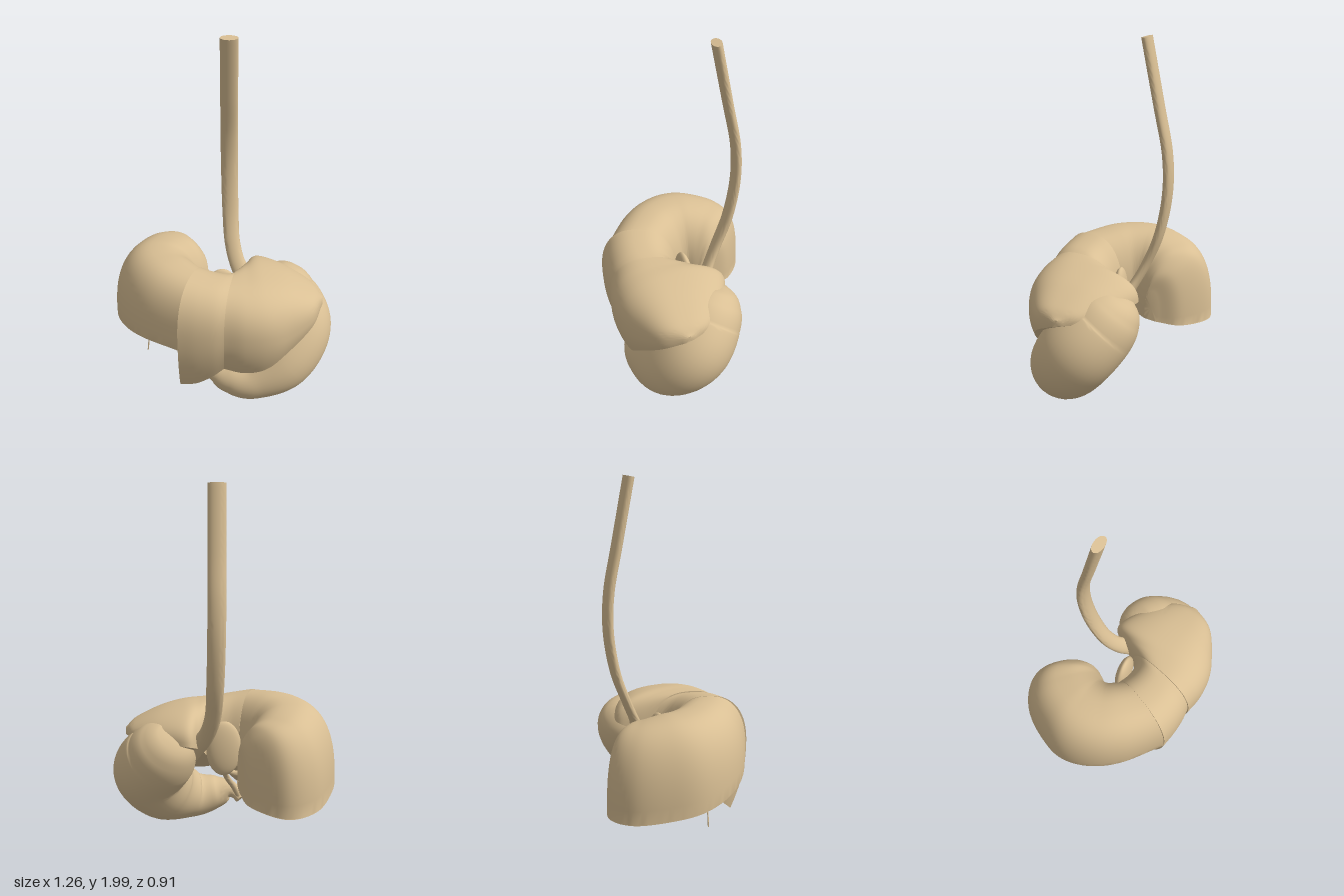
import * as THREE from 'three';
import { toCreasedNormals } from 'three/addons/utils/BufferGeometryUtils.js';

const V = (x, y, z) => new THREE.Vector3(x, y, z);
const spline = (pts) => new THREE.CatmullRomCurve3(pts, false, 'catmullrom', 0.5);

// Skin closed rings (counter-clockwise about the direction of travel) and cap both ends.
function loft(rings, crease) {
  const n = rings[0].length, pos = [], idx = [];
  rings.forEach((ring) => ring.forEach((p) => pos.push(p.x, p.y, p.z)));
  for (let i = 0; i < rings.length - 1; i++) {
    for (let j = 0; j < n; j++) {
      const a = i * n + j, b = i * n + (j + 1) % n;
      idx.push(a, b, a + n, b, b + n, a + n);
    }
  }
  [0, rings.length - 1].forEach((r, end) => {
    const c = V(0, 0, 0);
    rings[r].forEach((p) => c.addScaledVector(p, 1 / n));
    const ci = pos.length / 3;
    pos.push(c.x, c.y, c.z);
    for (let j = 0; j < n; j++) {
      const a = r * n + j, b = r * n + (j + 1) % n;
      if (end) idx.push(ci, a, b);
      else idx.push(ci, b, a);
    }
  });
  const g = new THREE.BufferGeometry();
  g.setAttribute('position', new THREE.Float32BufferAttribute(pos, 3));
  g.setIndex(idx);
  return toCreasedNormals(g, crease);
}

// Tube through [x, y, z, radius] stations; depth flattens its section.
function taperedTube(stations, steps, sides, depth = 1) {
  const path = spline(stations.map(([x, y, z]) => V(x, y, z)));
  const radius = spline(stations.map((s) => V(s[3], 0, 0)));
  const { normals, binormals } = path.computeFrenetFrames(steps, false);
  const rings = [];
  for (let i = 0; i <= steps; i++) {
    const u = i / steps, c = path.getPointAt(u);
    const r = Math.max(radius.getPoint(path.getUtoTmapping(u)).x, 0.002);
    rings.push(Array.from({ length: sides }, (_, j) => {
      const a = (j / sides) * Math.PI * 2;
      return c.clone().addScaledVector(normals[i], r * Math.cos(a))
        .addScaledVector(binormals[i], r * depth * Math.sin(a));
    }));
  }
  return loft(rings, 1);
}

// Liver lobe: domed sections from an inner to an outer edge.
// Station: [inner x, z, y, outer x, z, bottom y, top y, widest y]
function lobe(stations, steps) {
  const inner = spline(stations.map((s) => V(s[0], s[2], s[1])));
  const outer = spline(stations.map((s) => V(s[3], s[5], s[4])));
  const height = spline(stations.map((s) => V(s[6], s[7], 0)));
  const rings = [];
  for (let i = 0; i <= steps; i++) {
    const t = i / steps, a = inner.getPoint(t), b = outer.getPoint(t);
    const { x: top, y: wide } = height.getPoint(t);
    const ring = [], arc = 32, wall = 6;
    for (let j = 0; j <= arc; j++) {
      const q = (j / arc) * Math.PI, c = Math.cos(q);
      const s = 0.5 - 0.5 * Math.sign(c) * Math.abs(c) ** 0.8;
      const base = a.y + (wide - a.y) * s;
      const y = base + (top - base) * Math.max(Math.sin(q), 0) ** 0.8;
      ring.push(V(a.x + (b.x - a.x) * s, y, a.z + (b.z - a.z) * s));
    }
    // front wall tucks back below its widest level
    for (let j = 1; j <= wall; j++) {
      const k = j / wall, drop = wide - b.y;
      ring.push(V(b.x, wide - drop * k, b.z - 0.25 * drop * k * k));
    }
    // underside
    const last = ring[ring.length - 1].clone();
    for (let j = 1; j < 8; j++) ring.push(last.clone().lerp(ring[0], j / 8));
    rings.push(ring);
  }
  return loft(rings, 0.75);
}

export function createModel() {
  const group = new THREE.Group();
  const tan = new THREE.MeshStandardMaterial({ color: 0xd9bf94 });
  tan.name = 'tan tissue';
  const add = (name, geometry) => {
    const m = new THREE.Mesh(geometry, tan);
    m.name = name;
    group.add(m);
    return m;
  };

  // Right lobe fans round the hilum, its underside cut by a sloping plane
  const under = (z) => 0.38 + 0.17 * z;
  const fan = [
    [-0.085, -0.13, -0.095, -0.20, 0.52], [-0.085, -0.13, -0.15, -0.34, 0.64],
    [-0.09, -0.12, -0.335, -0.455, 0.735], [-0.10, -0.10, -0.50, -0.385, 0.775],
    [-0.115, -0.08, -0.60, -0.20, 0.805], [-0.12, -0.07, -0.63, -0.04, 0.815],
    [-0.12, -0.05, -0.575, 0.13, 0.82], [-0.11, -0.03, -0.45, 0.28, 0.82],
    [-0.09, 0, -0.23, 0.43, 0.805],
  ];
  add('rightLobe', lobe(fan.map(([ix, iz, ox, oz, top]) =>
    [ix, iz, under(iz), ox, oz, under(oz) - 0.005, top, under(oz)]), 64));

  // Middle segment hangs down in front as a wedge
  add('middleSegment', lobe([
    [-0.09, 0, 0.42, -0.235, 0.43, 0.13, 0.807, 0.5],
    [-0.02, 0.02, 0.42, -0.14, 0.44, 0.155, 0.79, 0.5],
    [0.05, 0.02, 0.45, -0.05, 0.44, 0.22, 0.775, 0.5],
    [0.095, -0.02, 0.5, 0.02, 0.43, 0.29, 0.76, 0.5],
  ], 24));

  // Left lobe drapes over the stomach
  add('leftLobe', lobe([
    [0.09, -0.02, 0.5, 0.015, 0.437, 0.29, 0.768, 0.5],
    [0.13, -0.11, 0.56, 0.13, 0.45, 0.268, 0.765, 0.5],
    [0.19, -0.19, 0.6, 0.25, 0.435, 0.29, 0.76, 0.5],
    [0.36, -0.12, 0.6, 0.36, 0.385, 0.38, 0.725, 0.5],
    [0.5, -0.01, 0.59, 0.5, 0.28, 0.5, 0.66, 0.55],
    [0.555, 0.1, 0.58, 0.56, 0.15, 0.57, 0.61, 0.58],
  ], 40));

  // Small lobe in the notch behind
  const caudate = add('caudateLobe', new THREE.SphereGeometry(1, 32, 20));
  caudate.scale.set(0.1, 0.16, 0.04);
  caudate.rotation.y = 0.15;
  caudate.position.set(-0.01, 0.53, -0.01);

  // Stomach from fundus to pylorus
  add('stomach', taperedTube([
    [0.25, 0.66, -0.13, 0.005], [0.26, 0.635, -0.12, 0.1], [0.29, 0.58, -0.09, 0.165],
    [0.34, 0.5, -0.035, 0.203], [0.412, 0.37, 0.07, 0.215], [0.325, 0.22, 0.185, 0.2],
    [0.17, 0.142, 0.262, 0.138], [0.04, 0.152, 0.275, 0.1], [-0.04, 0.17, 0.265, 0.062],
    [-0.08, 0.155, 0.25, 0.037], [-0.11, 0.125, 0.23, 0.03],
  ], 80, 40));

  // Flattened gullet curving down into the stomach
  add('oesophagus', taperedTube([
    [0.025, 1.995, -0.165, 0.048], [0.025, 1.65, -0.235, 0.048], [0.025, 1.4, -0.285, 0.048],
    [0.028, 1.18, -0.291, 0.048], [0.035, 0.95, -0.252, 0.047], [0.05, 0.76, -0.18, 0.045],
    [0.1, 0.62, -0.11, 0.05], [0.2, 0.52, -0.05, 0.08],
  ], 60, 24, 0.55));

  // Ducts at the hilum
  [[[-0.03, 0.44, 0], [-0.02, 0.34, 0.08], [-0.07, 0.22, 0.18], [-0.1, 0.14, 0.23]],
    [[-0.02, 0.38, 0.05], [-0.09, 0.36, 0.04], [-0.16, 0.39, 0.03]]].forEach((p) =>
    add('duct', taperedTube(p.map((q) => [...q, 0.016]), 20, 12)));

  // Fine vessels hanging under the right lobe
  [[[-0.22, 0.42, 0.1], [-0.3, 0.37, 0.09], [-0.38, 0.31, 0.08], [-0.43, 0.26, 0.08], [-0.445, 0.17, 0.08]],
    [[-0.38, 0.31, 0.08], [-0.43, 0.32, 0.05], [-0.47, 0.3, 0.03]],
    [[-0.2, 0.4, -0.02], [-0.28, 0.34, -0.07], [-0.33, 0.29, -0.1], [-0.36, 0.25, -0.1]],
    [[-0.28, 0.34, -0.07], [-0.28, 0.31, -0.05], [-0.3, 0.28, -0.04]]].forEach((p) =>
    add('vessel', taperedTube(p.map((q) => [...q, 0.004]), 14, 6)));

  return group;
}
